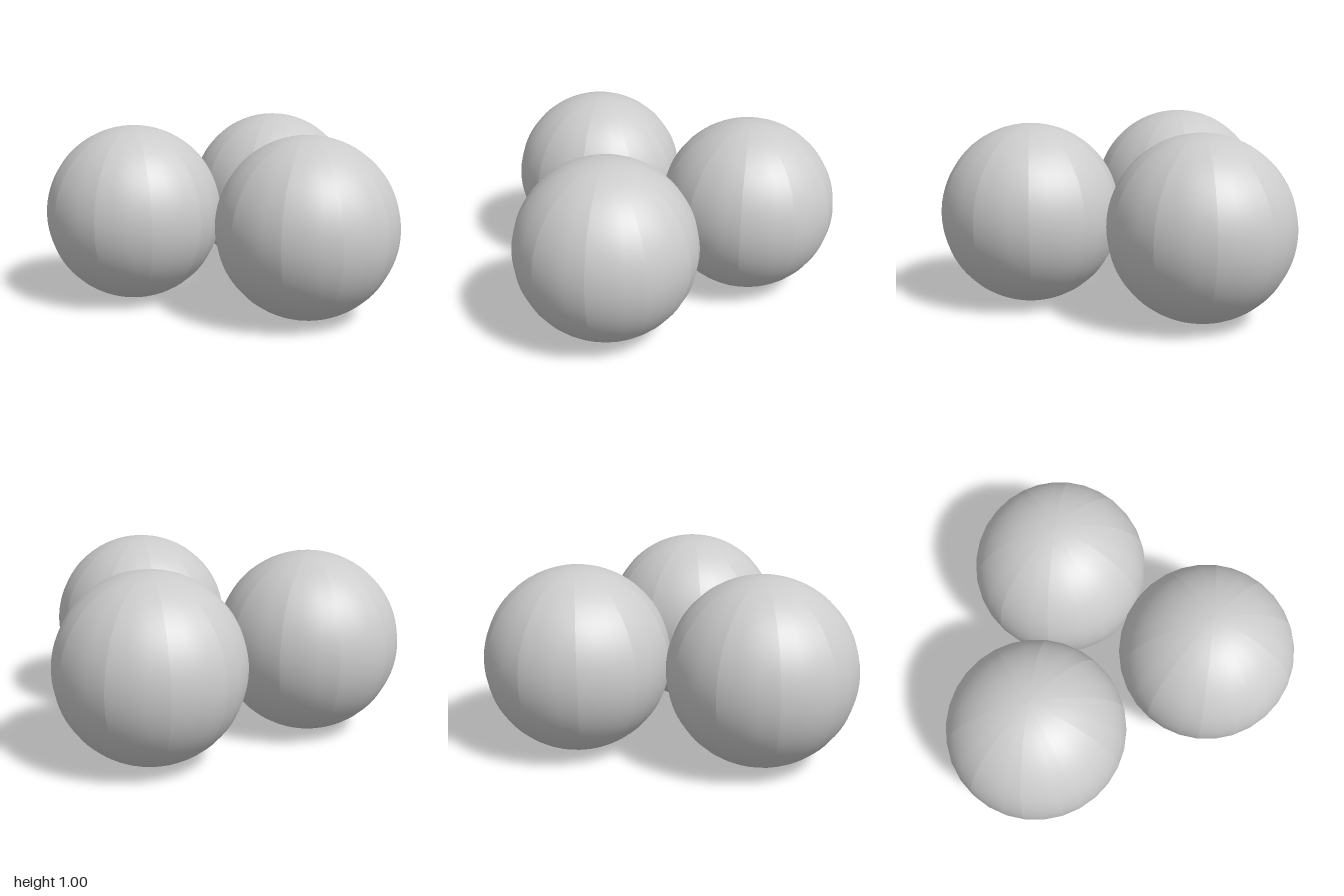
import * as THREE from 'three';
import { mergeGeometries } from 'three/addons/utils/BufferGeometryUtils.js';

const RADIUS = 0.5;
const GORES = 10;

// A ball of flat-sided gores: smooth from pole to pole, creased between gores
function goredBall() {
  const step = (Math.PI * 2) / GORES;
  const gores = [];
  for (let i = 0; i < GORES; i++) {
    const gore = new THREE.SphereGeometry(RADIUS, 1, 40, i * step, step);
    gore.computeVertexNormals();
    gores.push(gore);
  }
  return mergeGeometries(gores);
}

export function createModel() {
  const group = new THREE.Group();
  group.name = 'threeBalls';
  const material = new THREE.MeshStandardMaterial({ color: 0xcccccc });
  const geometry = goredBall();

  // Two balls touching at the back, one in front
  const balls = [
    ['backRightBall', -0.5, -0.45],
    ['backLeftBall', 0.5, -0.45],
    ['frontBall', 0.063, 0.45],
  ];
  for (const [name, x, z] of balls) {
    const ball = new THREE.Mesh(geometry, material);
    ball.name = name;
    ball.position.set(x, RADIUS, z);
    group.add(ball);
  }
  return group;
}
